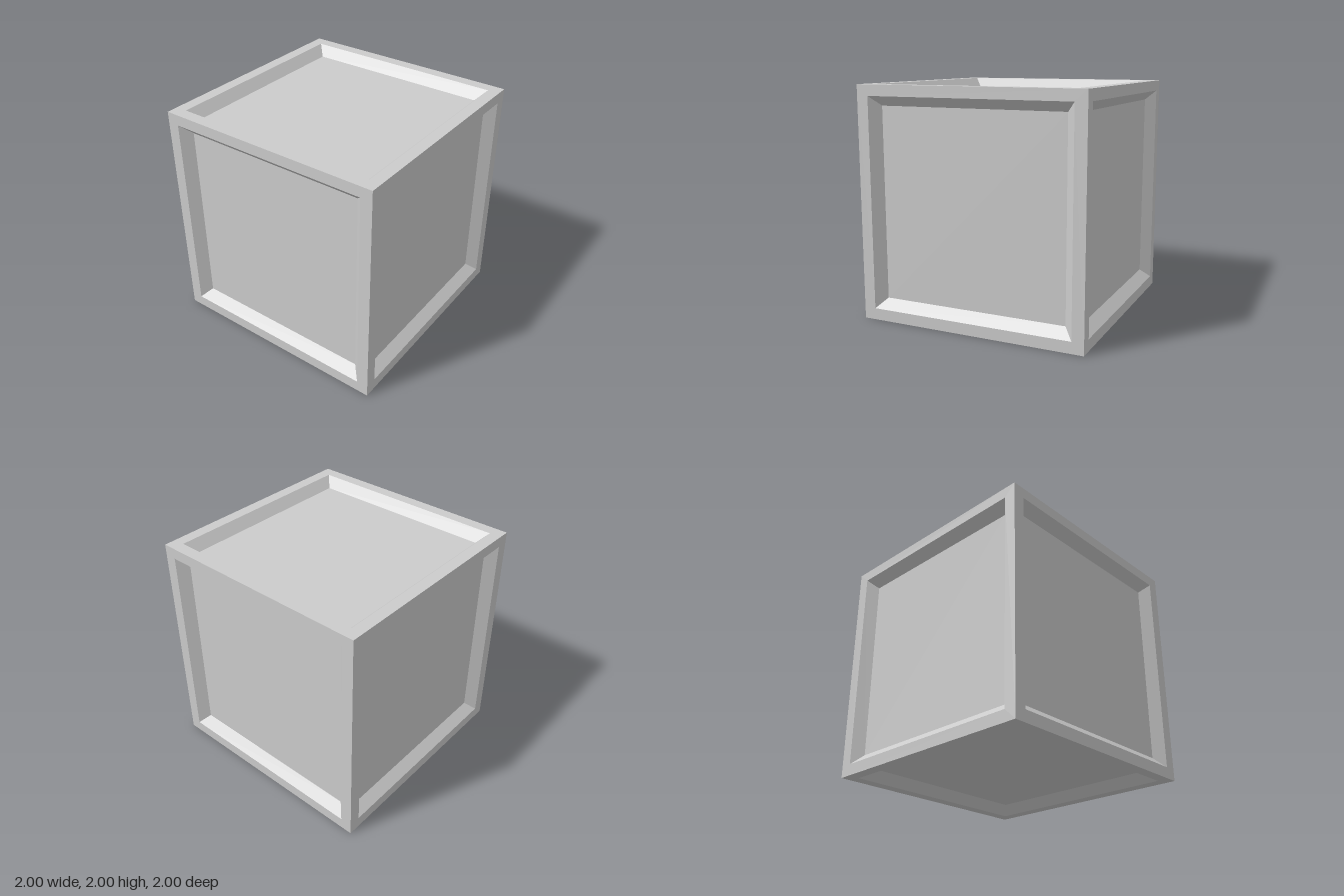
import * as THREE from 'three';

// Half extents along x, y, z of the outer edge, the recess opening and the recess floor
const OUTER = [1, 1, 1];
const OPENING = [0.897, 0.904, 0.898];
const FLOOR = [0.816, 0.823, 0.818];
const DEPTH = 0.085;
const RECESS_LIFT = 0.003;
const CORNERS = [[-1, -1], [1, -1], [1, 1], [-1, 1]];

// Four corners of one rectangle on the side facing axis n (0 = x, 1 = y, 2 = z)
function ring(n, sign, half, height, lift) {
  const u = (n + 1) % 3, v = (n + 2) % 3;
  return CORNERS.map(([a, b]) => {
    const p = [0, 0, 0];
    p[n] = sign * height;
    p[u] = a * sign * half[u];
    p[v] = b * half[v];
    if (n !== 1) p[1] += lift;
    return p;
  });
}

// Flat rim, sloping recess walls and sunken floor of one side
function sideGeometry(n, sign) {
  const rings = [
    ring(n, sign, OUTER, 1, 0),
    ring(n, sign, OPENING, 1, RECESS_LIFT),
    ring(n, sign, FLOOR, 1 - DEPTH, RECESS_LIFT),
  ];
  const positions = [];
  const quad = (a, b, c, d) => positions.push(...a, ...b, ...c, ...a, ...c, ...d);
  for (let r = 0; r < 2; r++) {
    for (let i = 0; i < 4; i++) {
      const j = (i + 1) % 4;
      quad(rings[r][i], rings[r][j], rings[r + 1][j], rings[r + 1][i]);
    }
  }
  quad(...rings[2]);
  const geometry = new THREE.BufferGeometry();
  geometry.setAttribute('position', new THREE.Float32BufferAttribute(positions, 3));
  geometry.computeVertexNormals();
  return geometry;
}

export function createModel() {
  const model = new THREE.Group();
  model.name = 'panelledCrate';
  const material = new THREE.MeshStandardMaterial({ color: 0xcccccc, flatShading: true });
  const names = [['leftPanel', 'rightPanel'], ['topPanel', 'bottomPanel'], ['frontPanel', 'backPanel']];

  // One recessed panel on each of the six sides
  names.forEach((pair, n) => pair.forEach((name, k) => {
    const side = new THREE.Mesh(sideGeometry(n, k === 0 ? 1 : -1), material);
    side.name = name;
    side.position.y = 1;
    model.add(side);
  }));
  return model;
}
